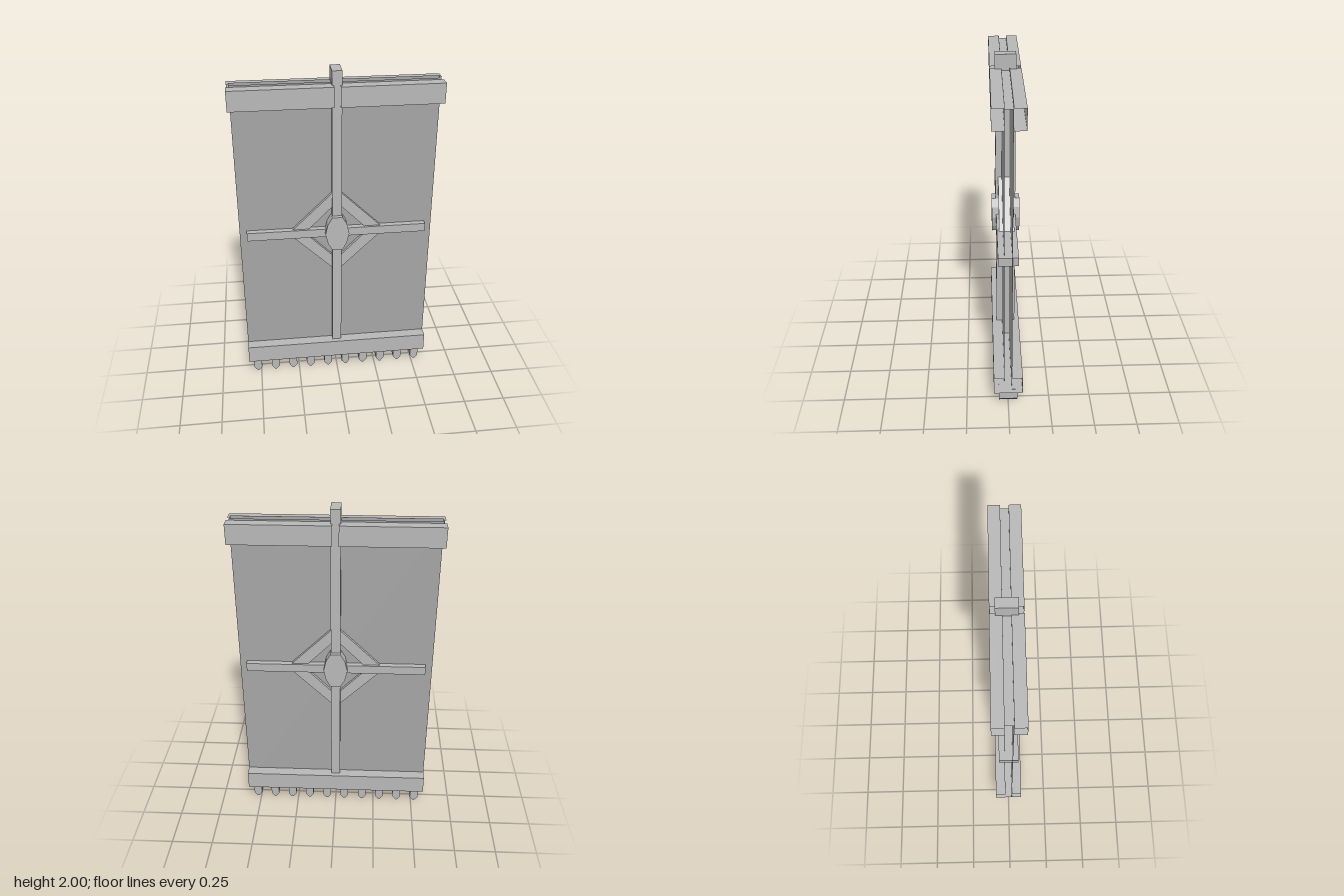
import * as THREE from 'three';

const metal = new THREE.MeshStandardMaterial({ color: 0xb8b8b8 });
metal.name = 'grey metal';
metal.side = THREE.DoubleSide;
const pane = new THREE.MeshStandardMaterial({ color: 0xa6a6a6 });
pane.name = 'pane grey';
pane.side = THREE.DoubleSide;

// Folded sheet: an open profile of [z, y] points swept from x0 to x1
function foldedSheet(profile, x0, x1) {
  const pos = [];
  for (let i = 0; i < profile.length - 1; i++) {
    const [za, ya] = profile[i], [zb, yb] = profile[i + 1];
    const a = [x0, ya, za], b = [x1, ya, za], c = [x1, yb, zb], d = [x0, yb, zb];
    pos.push(...a, ...c, ...b, ...a, ...d, ...c);
  }
  const g = new THREE.BufferGeometry();
  g.setAttribute('position', new THREE.Float32BufferAttribute(pos, 3));
  g.computeVertexNormals();
  return g;
}

// Prism: outline in x, y extruded evenly about z = 0
function prism(points, depth) {
  const shape = new THREE.Shape(points.map(([x, y]) => new THREE.Vector2(x, y)));
  const g = new THREE.ExtrudeGeometry(shape, { depth, bevelEnabled: false });
  g.translate(0, 0, -depth / 2);
  return g;
}

export function createModel() {
  const model = new THREE.Group();
  model.name = 'gatePanel';
  const add = (name, geometry, material = metal) => {
    const mesh = new THREE.Mesh(geometry, material);
    mesh.name = name;
    model.add(mesh);
    return mesh;
  };

  const gap = 0.022;   // half the distance between the two panes
  const outer = 0.086; // half depth of the rails

  for (const s of [1, -1]) {
    const face = s > 0 ? 'front' : 'back';
    // Thin panes
    const sheet = new THREE.PlaneGeometry(1.15, 1.82);
    if (s < 0) sheet.rotateY(Math.PI);
    add(face + 'Pane', sheet, pane).position.set(0, 1.02, s * gap);

    // Channel rails, open at the ends; the top one is split around the post
    const channel = (y0, y1) => {
      const p = [[s * gap, y0], [s * outer, y0], [s * outer, y1], [s * gap, y1]];
      return s > 0 ? p : p.reverse();
    };
    add(face + 'TopRailLeft', foldedSheet(channel(1.805, 1.92), 0.018, 0.59));
    add(face + 'TopRailRight', foldedSheet(channel(1.805, 1.92), -0.59, -0.018));
    add(face + 'BottomRail', foldedSheet(channel(0.1, 0.215), -0.575, 0.575));
  }
  // Strips closing the groove between the panes
  add('topGroove', foldedSheet([[gap, 1.91], [-gap, 1.91]], -0.575, 0.575));
  add('bottomGroove', foldedSheet([[-gap, 0.102], [gap, 0.102]], -0.575, 0.575));

  // Upright post and crossbar
  add('post', new THREE.BoxGeometry(0.056, 1.9, 0.115)).position.y = 1.05;
  add('crossbar', new THREE.BoxGeometry(1.066, 0.052, 0.113)).position.y = 1.017;

  // Hub with faceted sides
  add('hub', prism([
    [-0.03, 0.91], [0.03, 0.91], [0.056, 0.955], [0.071, 1.02], [0.056, 1.085],
    [0.03, 1.13], [-0.03, 1.13], [-0.056, 1.085], [-0.071, 1.02], [-0.056, 0.955],
  ], 0.164));

  // Four diagonal braces forming a diamond
  for (const sx of [1, -1]) {
    for (const sy of [1, -1]) {
      const points = [[0.02, 0.173], [0.17, 0.02], [0.267, 0.02], [0.02, 0.262]];
      add('brace', prism(points.map(([x, y]) => [sx * x, 1.017 + sy * y]), 0.086));
    }
  }

  // Row of pointed teeth along the bottom
  const tooth = prism([
    [-0.025, 0.102], [-0.025, 0.026], [-0.005, 0], [0.005, 0], [0.025, 0.026], [0.025, 0.102],
  ], 0.112);
  for (let i = 0; i < 10; i++) add('tooth', tooth).position.x = -0.52 + i * 1.04 / 9;

  return model;
}
